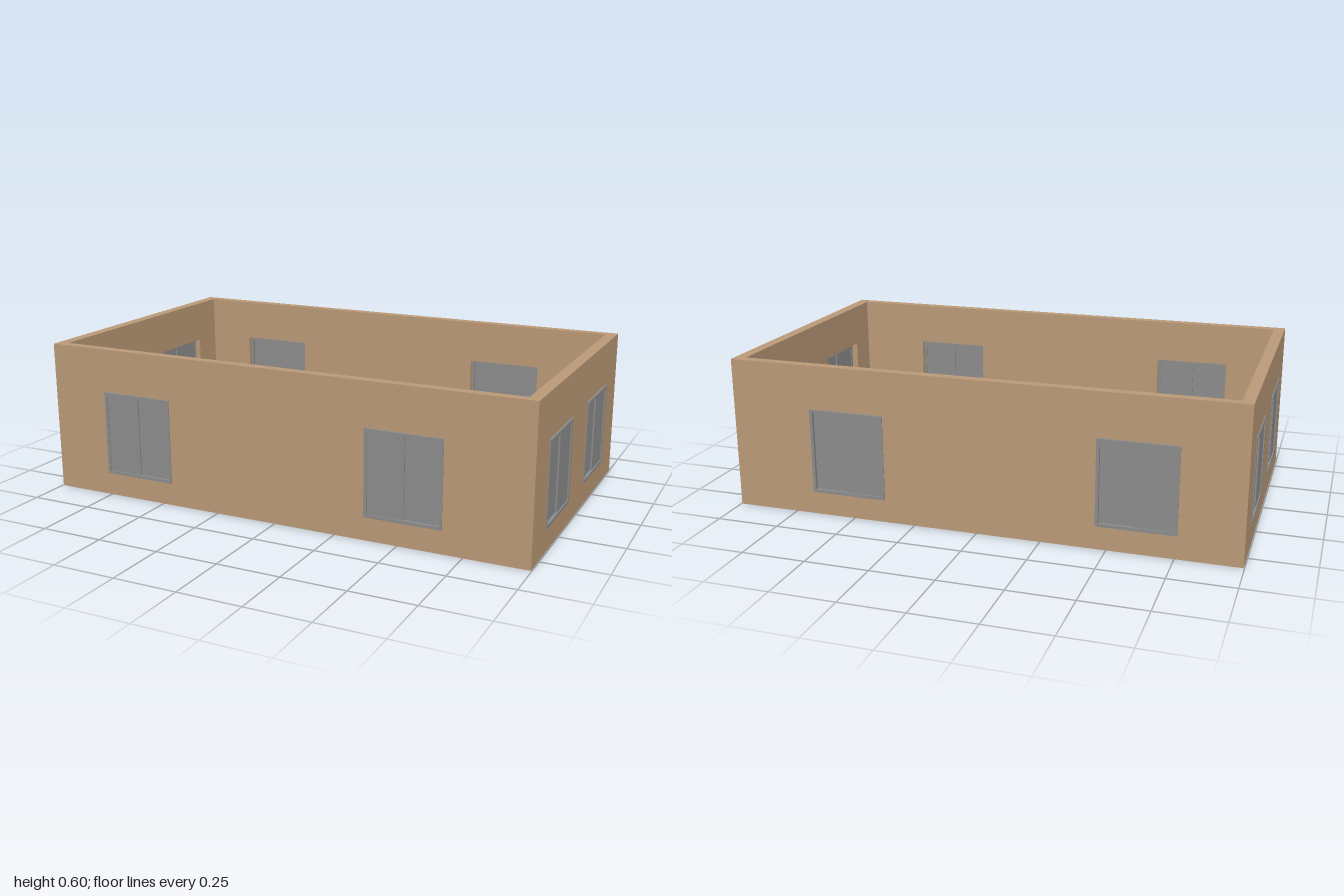
import * as THREE from 'three';

const wallPaint = new THREE.MeshStandardMaterial({ color: 0xba9977 });
wallPaint.name = 'tan wall';
const windowGrey = new THREE.MeshStandardMaterial({ color: 0x8b8b8b });
windowGrey.name = 'window grey';

const HEIGHT = 0.6, SILL = 0.09, HALF_X = 0.997, HALF_Z = 0.586;
const LONG_THICK = 0.038, SHORT_THICK = 0.044;

function box(name, w, h, d, x, y, z) {
  const mesh = new THREE.Mesh(new THREE.BoxGeometry(w, h, d), windowGrey);
  mesh.name = name;
  mesh.position.set(x, y, z);
  return mesh;
}

// Rectangle as a closed path, used for walls, openings and frames
function rect(Type, x0, y0, x1, y1) {
  const p = new Type();
  p.moveTo(x0, y0);
  p.lineTo(x1, y0);
  p.lineTo(x1, y1);
  p.lineTo(x0, y1);
  p.closePath();
  return p;
}

// Sliding window: a frame and two sashes on separate tracks; z = 0 is the outer wall face
function slidingWindow(w, h, outerSide) {
  const g = new THREE.Group();
  g.name = 'slidingWindow';
  const b = 0.012, depth = 0.021, proud = 0.003;
  const shape = rect(THREE.Shape, -w / 2, 0, w / 2, h);
  shape.holes.push(rect(THREE.Path, -w / 2 + b, b, w / 2 - b, h - b));
  const frame = new THREE.Mesh(
    new THREE.ExtrudeGeometry(shape, { depth, bevelEnabled: false }), windowGrey);
  frame.name = 'windowFrame';
  frame.position.z = proud - depth;
  g.add(frame);
  const sashW = w / 2 - b + 0.004, x = w / 4 - b / 2 - 0.002;
  g.add(box('outerSash', sashW, h - 2 * b, 0.006, outerSide * x, h / 2, -0.005));
  g.add(box('innerSash', sashW, h - 2 * b, 0.006, -outerSide * x, h / 2, -0.012));
  return g;
}

// Wall with window openings, outer face towards local +z
function wall(name, length, thick, centres, openingTop, windowTop, outerSide) {
  const w = 0.302;
  const g = new THREE.Group();
  g.name = name;
  const shape = rect(THREE.Shape, -length / 2, 0, length / 2, HEIGHT);
  for (const c of centres) {
    shape.holes.push(rect(THREE.Path, c - w / 2, SILL, c + w / 2, openingTop));
    const win = slidingWindow(w, windowTop - SILL, outerSide);
    win.position.set(c, SILL, 0);
    g.add(win);
  }
  const panel = new THREE.Mesh(
    new THREE.ExtrudeGeometry(shape, { depth: thick, bevelEnabled: false }), wallPaint);
  panel.name = name + 'Panel';
  panel.position.z = -thick;
  g.add(panel);
  return g;
}

export function createModel() {
  const model = new THREE.Group();
  model.name = 'roomWalls';
  const shortLength = 2 * (HALF_Z - LONG_THICK);

  // Long walls
  const front = wall('frontWall', 2 * HALF_X, LONG_THICK, [-0.608, 0.52], 0.428, 0.426, -1);
  front.position.z = HALF_Z;
  const back = wall('backWall', 2 * HALF_X, LONG_THICK, [0.608, -0.52], 0.428, 0.426, 1);
  back.position.z = -HALF_Z;
  back.rotation.y = Math.PI;

  // Short walls fit between the long ones; a slim gap stays above their windows
  const left = wall('leftWall', shortLength, SHORT_THICK, [-0.27, 0.26], 0.426, 0.42, 1);
  left.position.x = HALF_X;
  left.rotation.y = Math.PI / 2;
  const right = wall('rightWall', shortLength, SHORT_THICK, [0.27, -0.26], 0.426, 0.42, 1);
  right.position.x = -HALF_X;
  right.rotation.y = -Math.PI / 2;

  model.add(front, back, left, right);
  return model;
}
